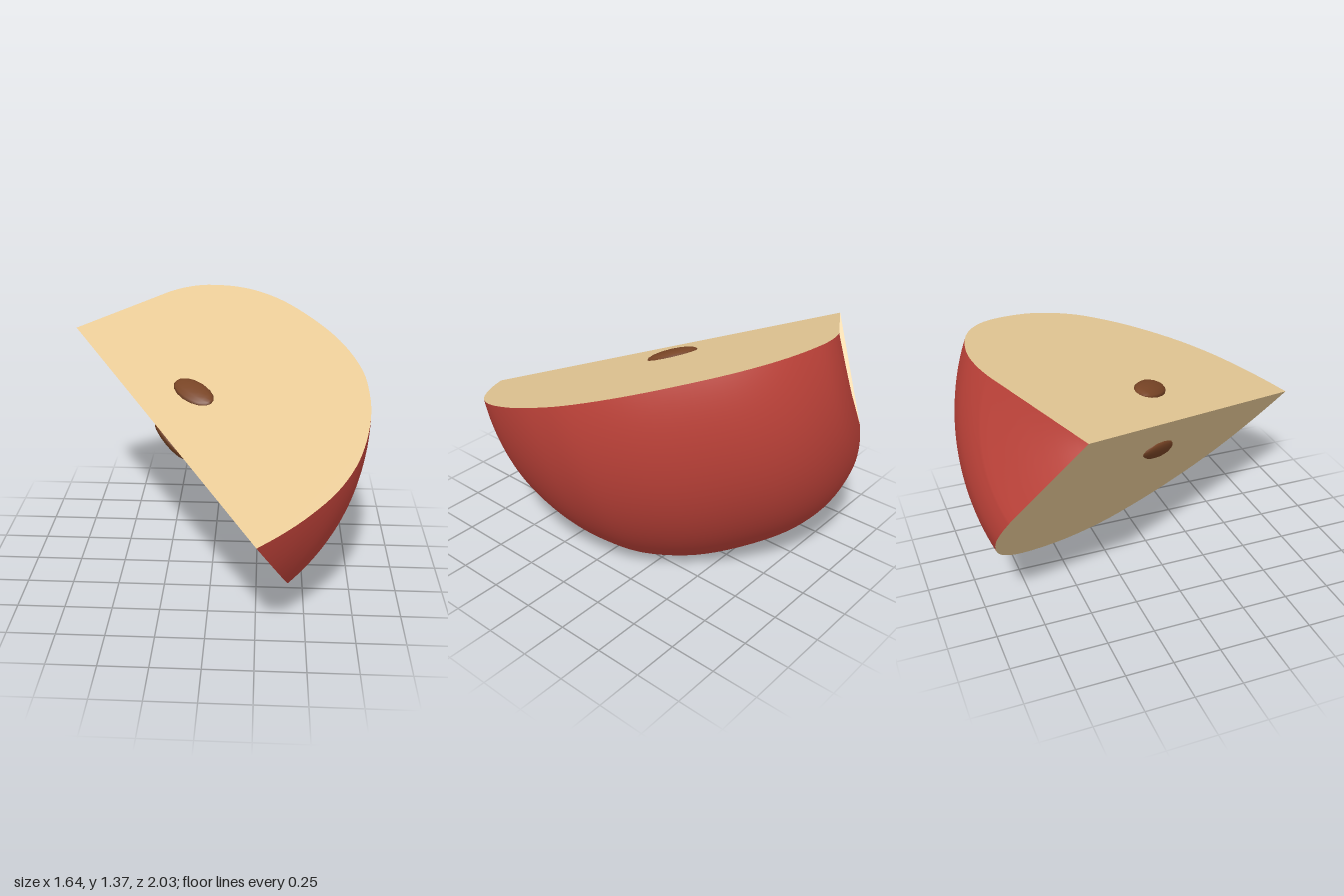
import * as THREE from 'three';

const WEDGE = THREE.MathUtils.degToRad(67);

// Profile as [radius, distance along the core from the hollow end]
const BODY = [[0, 1.988], [0.15, 1.98], [0.315, 1.955], [0.5, 1.903], [0.67, 1.815], [0.81, 1.703],
  [0.934, 1.571], [1.03, 1.43], [1.113, 1.257], [1.16, 1.03], [1.163, 0.8], [1.126, 0.526],
  [1.06, 0.335], [0.965, 0.19], [0.834, 0.073], [0.72, 0.02], [0.62, 0]];
const HOLLOW = [[0.62, 0], [0.42, 0.018], [0.22, 0.05], [0.08, 0.085], [0, 0.1]];

const spline = (pts, n) =>
  new THREE.SplineCurve(pts.map(([r, t]) => new THREE.Vector2(r, -t))).getPoints(n)
    .map((p) => p.set(Math.max(p.x, 0), p.y));

export function createModel() {
  const skin = new THREE.MeshStandardMaterial({ color: 0xbe4239 });
  skin.name = 'red skin';
  const flesh = new THREE.MeshStandardMaterial({ color: 0xecce99, side: THREE.DoubleSide });
  flesh.name = 'cream flesh';
  const pip = new THREE.MeshStandardMaterial({ color: 0x784425 });
  pip.name = 'brown seed';

  const model = new THREE.Group();
  model.name = 'fruitSlice';

  // Slice frame: local y runs along the core, local z lies in the upper cut
  const slice = new THREE.Group();
  slice.name = 'slice';
  const a = new THREE.Vector3(-0.82, 1.19, -0.59);
  const b = new THREE.Vector3(0.25, 0.66, 1.0);
  const yAxis = a.clone().sub(b).normalize();
  const zAxis = new THREE.Vector3(0.841, 0.234, -0.49);
  zAxis.addScaledVector(yAxis, -zAxis.dot(yAxis)).normalize();
  const xAxis = new THREE.Vector3().crossVectors(yAxis, zAxis);
  slice.quaternion.setFromRotationMatrix(new THREE.Matrix4().makeBasis(xAxis, yAxis, zAxis));
  slice.position.copy(a);
  model.add(slice);

  // Curved skin with the hollow at one end
  const body = spline(BODY, 64);
  const peel = new THREE.Mesh(
    new THREE.LatheGeometry([...body, ...spline(HOLLOW, 12).slice(1)], 40, 0, WEDGE), skin);
  peel.name = 'skin';
  slice.add(peel);

  // Two flat cut faces, each with a seed
  const faceGeo = new THREE.ShapeGeometry(new THREE.Shape([...body, new THREE.Vector2(0, 0)]));
  const seedGeo = new THREE.SphereGeometry(1, 12, 8);
  [['upperCut', 0], ['frontCut', WEDGE]].forEach(([name, angle]) => {
    const cut = new THREE.Group();
    cut.name = name;
    cut.rotation.y = angle - Math.PI / 2;

    const face = new THREE.Mesh(faceGeo, flesh);
    face.name = name + 'Face';
    const seed = new THREE.Mesh(seedGeo, pip);
    seed.name = name + 'Seed';
    seed.scale.set(0.075, 0.138, 0.03);
    seed.position.set(0.285, -0.89, 0);
    seed.rotation.z = THREE.MathUtils.degToRad(12);

    cut.add(face, seed);
    slice.add(cut);
  });

  return model;
}
